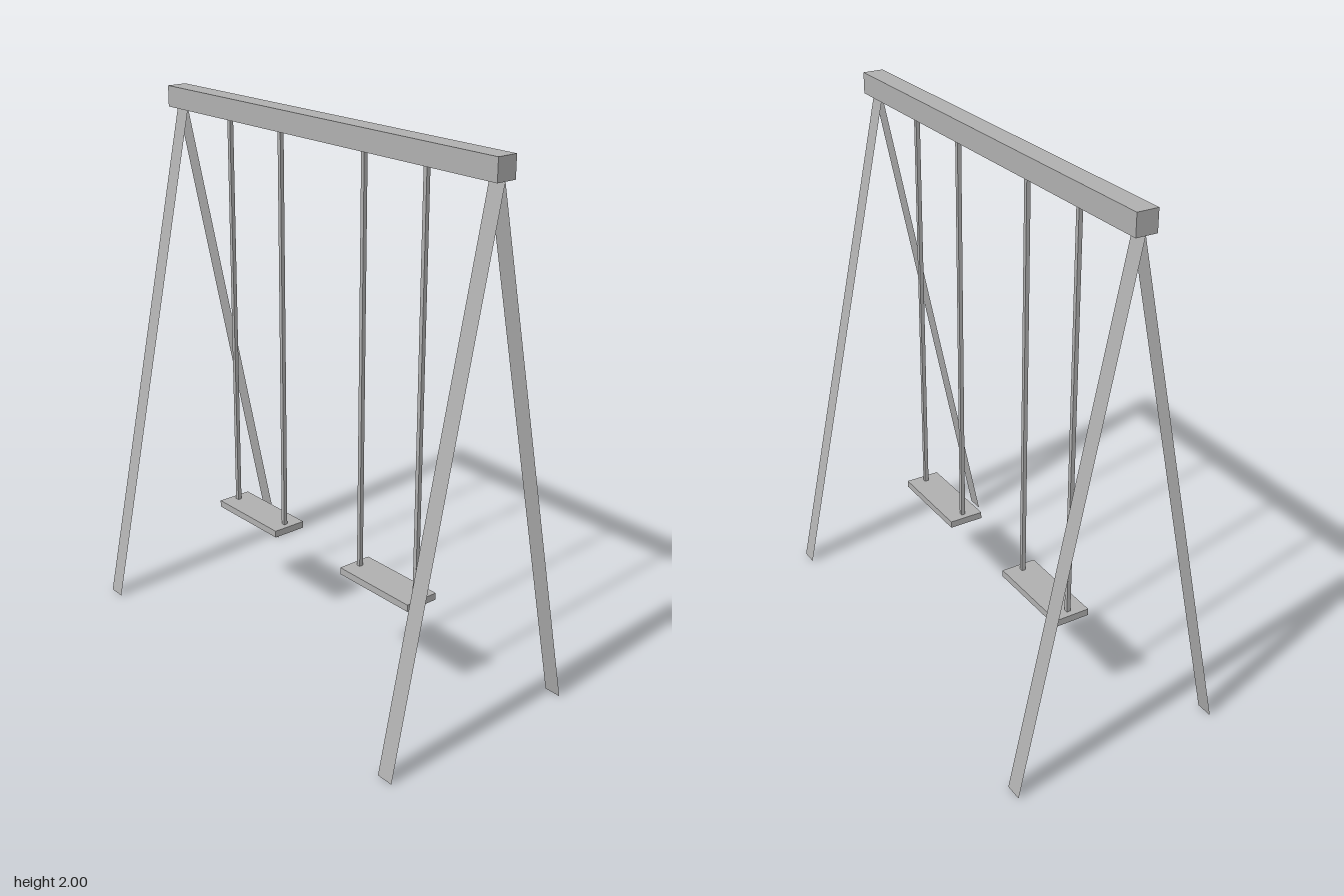
import * as THREE from 'three';

export function createModel() {
  const group = new THREE.Group();
  const grey = new THREE.MeshStandardMaterial({ color: 0xb0b0b0, side: THREE.DoubleSide, flatShading: true });
  grey.name = 'grey';

  const add = (name, geometry, x, y, z) => {
    const mesh = new THREE.Mesh(geometry, grey);
    mesh.name = name;
    mesh.position.set(x, y, z);
    group.add(mesh);
    return mesh;
  };

  const beamBottom = 1.922;
  const seatTop = 0.408;
  const footSpread = 0.405;

  // Top beam
  add('topBeam', new THREE.BoxGeometry(1.7, 2 - beamBottom, 0.078), 0, (2 + beamBottom) / 2, 0);

  // Four flat legs leaning together under the beam
  const legLength = Math.hypot(beamBottom, footSpread);
  const lean = Math.atan2(footSpread, beamBottom);
  for (const sx of [-1, 1]) {
    for (const sz of [-1, 1]) {
      const leg = add(sz > 0 ? 'frontLeg' : 'backLeg', new THREE.PlaneGeometry(0.065, legLength),
        sx * 0.813, beamBottom / 2, sz * footSpread / 2);
      // Turn the back legs around so that they face outwards
      leg.rotation.order = 'YXZ';
      leg.rotation.set(-lean, sz > 0 ? 0 : Math.PI, 0);
    }
  }

  // Two swings, each a seat board hung from two square rods
  for (const sx of [-1, 1]) {
    add('seat', new THREE.BoxGeometry(0.355, 0.026, 0.134), sx * 0.367, seatTop - 0.013, 0);
    for (const offset of [-0.147, 0.147]) {
      add('hangingRod', new THREE.BoxGeometry(0.015, beamBottom - seatTop, 0.015),
        sx * 0.367 + offset, (beamBottom + seatTop) / 2, 0);
    }
  }

  return group;
}
